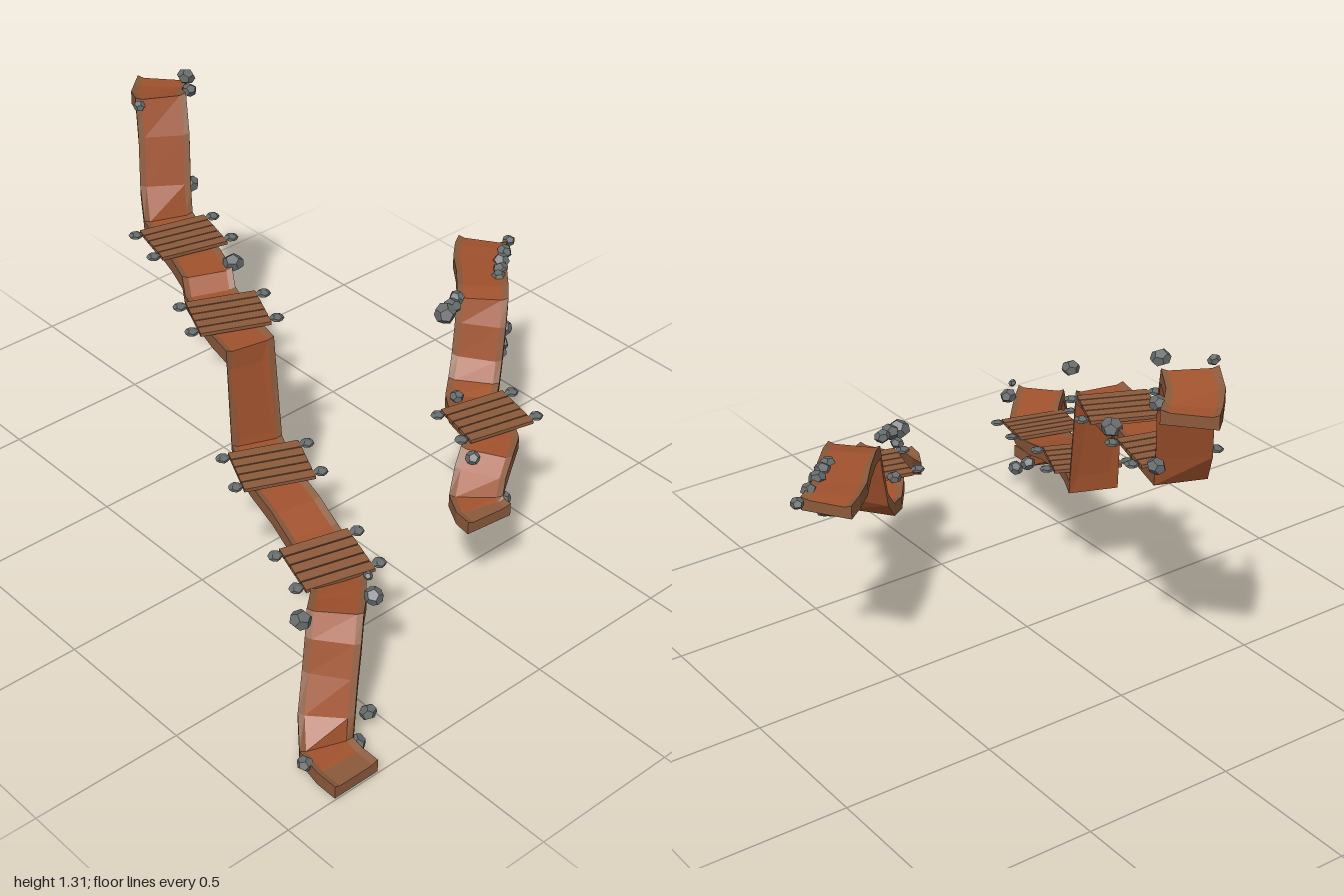
import * as THREE from 'three';

const mat = (name, color, extra = {}) => {
  const m = new THREE.MeshStandardMaterial({ color, flatShading: true, ...extra });
  m.name = name;
  return m;
};

// Trail ribbon: a shallow trough swept along [x, y, z] points
function ribbon(name, pts, clay, earth) {
  const H = 0.082, I = 0.062, T = 0.045;
  const section = [[-H, 0], [-I, -0.008], [I, -0.008], [H, 0], [H, -T], [-H, -T]];
  const rings = pts.map((p, i) => {
    const a = pts[Math.max(0, i - 1)], b = pts[Math.min(pts.length - 1, i + 1)];
    const tx = b[0] - a[0], tz = b[2] - a[2], l = Math.hypot(tx, tz);
    return section.map(([s, h]) => [p[0] - (tz / l) * s, p[1] + h, p[2] + (tx / l) * s]);
  });
  const top = [], side = [];
  for (let i = 0; i < rings.length - 1; i++) {
    for (let j = 0; j < 6; j++) {
      const k = (j + 1) % 6;
      const a = rings[i][j], b = rings[i][k], c = rings[i + 1][k], d = rings[i + 1][j];
      const list = (j === 1 || j === 4) && i > 0 ? top : side;
      list.push(a, b, c, a, c, d);
    }
  }
  // End caps
  const s = rings[0], e = rings[rings.length - 1];
  for (let k = 0; k < 4; k++) {
    side.push(s[5], s[k + 1], s[k], e[5], e[k], e[k + 1]);
  }
  const geo = new THREE.BufferGeometry();
  geo.setAttribute('position', new THREE.Float32BufferAttribute([...top, ...side].flat(), 3));
  geo.addGroup(0, top.length, 0);
  geo.addGroup(top.length, side.length, 1);
  geo.computeVertexNormals();
  const mesh = new THREE.Mesh(geo, [clay, earth]);
  mesh.name = name;
  return mesh;
}

export function createModel() {
  const model = new THREE.Group();
  model.name = 'mountainTrails';
  const clay = mat('clay', 0xa0522d, { side: THREE.DoubleSide });
  const earth = mat('earth', 0x8b5a3c, { side: THREE.DoubleSide });
  const wood = mat('wood', 0x8b5a3c);
  const stone = mat('stone', 0x666b6b);

  // Long trail with three cliffs
  model.add(ribbon('longTrail', [
    [-0.745, 0.055, 1], [-0.745, 0.055, 0.93], [-0.735, 0.06, 0.86], [-0.705, 0.13, 0.825],
    [-0.665, 0.24, 0.795], [-0.635, 0.34, 0.775], [-0.6, 0.41, 0.745], [-0.54, 0.395, 0.69],
    [-0.475, 0.38, 0.62], [-0.43, 0.38, 0.53], [-0.4, 0.4, 0.42], [-0.38, 0.43, 0.32],
    [-0.355, 0.45, 0.19], [-0.315, 0.455, 0.09], [-0.28, 0.455, 0.02], [-0.275, 0.8, -0.01],
    [-0.255, 0.8, -0.1], [-0.225, 0.8, -0.2], [-0.19, 0.81, -0.305], [-0.165, 0.85, -0.35],
    [-0.13, 0.855, -0.45], [-0.09, 0.855, -0.58], [-0.055, 0.86, -0.685], [-0.035, 0.96, -0.72],
    [-0.01, 1.12, -0.75], [0.01, 1.24, -0.785], [0.05, 1.215, -0.86], [0.1, 1.2, -0.91], [0.14, 1.2, -0.945],
  ], clay, earth));

  // Short trail with two climbs
  model.add(ribbon('shortTrail', [
    [0.075, 0.38, 0.69], [0.08, 0.38, 0.645], [0.1, 0.385, 0.605], [0.14, 0.44, 0.58],
    [0.185, 0.485, 0.56], [0.25, 0.49, 0.52], [0.295, 0.49, 0.45], [0.32, 0.485, 0.37],
    [0.37, 0.475, 0.305], [0.42, 0.49, 0.265], [0.455, 0.55, 0.24], [0.48, 0.66, 0.225],
    [0.505, 0.74, 0.205], [0.55, 0.75, 0.16], [0.61, 0.745, 0.095], [0.67, 0.74, 0.02],
    [0.72, 0.74, -0.025], [0.765, 0.735, -0.055],
  ], clay, earth));

  // Plank decks with flat corner stones: x, y, z, turn, pitch
  const bridges = [
    [-0.45, 0.388, 0.54, -0.27, 0.1], [-0.335, 0.46, 0.155, -0.42, 0.03], [-0.225, 0.807, -0.175, -0.42, 0],
    [-0.1, 0.86, -0.55, -0.26, 0], [0.305, 0.495, 0.44, -0.24, 0],
  ];
  const plank = new THREE.BoxGeometry(0.225, 0.012, 0.034);
  const flatStone = new THREE.DodecahedronGeometry(0.023).scale(1, 0.4, 1);
  for (const [x, y, z, turn, pitch] of bridges) {
    const deck = new THREE.Group();
    deck.name = 'plankBridge';
    deck.position.set(x, y, z);
    deck.rotation.set(pitch, turn, 0, 'YXZ');
    for (let i = -2; i <= 2; i++) {
      const board = new THREE.Mesh(plank, wood);
      board.name = 'plank';
      board.position.z = i * 0.038;
      deck.add(board);
    }
    for (const sx of [-1, 1]) for (const sz of [-1, 1]) {
      const cap = new THREE.Mesh(flatStone, stone);
      cap.name = 'cornerStone';
      cap.position.set(sx * 0.135, 0.004, sz * 0.073);
      deck.add(cap);
    }
    model.add(deck);
  }

  // Boulders: x, y, z, radius
  const rocks = [
    [-0.73, 0.45, 0.745, 0.034], [-0.47, 0.405, 0.765, 0.03], [-0.47, 0.465, 0.74, 0.015],
    [-0.555, 0.06, 0.84, 0.028], [-0.825, 0.05, 0.87, 0.025], [-0.645, 0.03, 0.89, 0.03],
    [-0.068, 0.85, -0.34, 0.035], [0.067, 0.92, -0.72, 0.03], [-0.08, 1.235, -0.78, 0.02],
    [0.1, 1.285, -0.765, 0.03], [0.16, 1.19, -0.83, 0.026],
    [0.345, 0.745, 0.2, 0.036], [0.29, 0.745, 0.22, 0.0], [0.385, 0.75, 0.19, 0.03], [0.425, 0.755, 0.17, 0.026],
    [0.56, 0.52, 0.235, 0.028], [0.59, 0.53, 0.215, 0.026], [0.63, 0.56, 0.185, 0.03],
    [0.635, 0.735, 0.15, 0.026], [0.67, 0.735, 0.12, 0.028], [0.71, 0.735, 0.085, 0.028],
    [0.765, 0.73, 0.045, 0.026], [0.83, 0.725, 0, 0.022],
    [0.13, 0.485, 0.555, 0.024], [0.175, 0.365, 0.655, 0.022], [0.295, 0.51, 0.315, 0.024],
  ].filter((r) => r[3] > 0);
  const boulder = new THREE.DodecahedronGeometry(1);
  rocks.forEach(([x, y, z, r], i) => {
    const rock = new THREE.Mesh(boulder, stone);
    rock.name = 'boulder';
    rock.position.set(x, y, z);
    rock.scale.set(r, r * 0.85, r);
    rock.rotation.set(0.3 * (i % 3), i * 1.7, 0.2 * (i % 4));
    model.add(rock);
  });
  return model;
}
